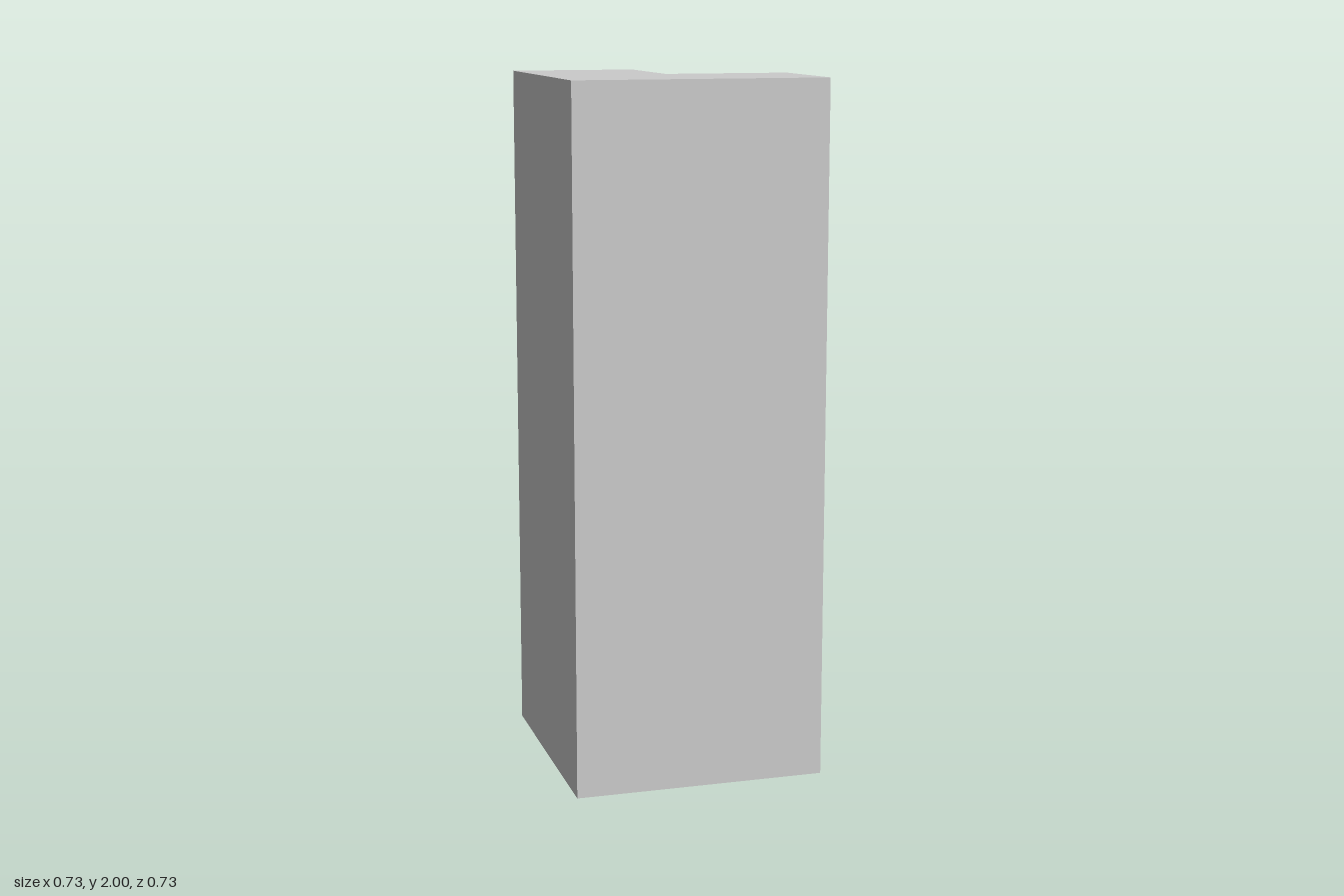
import * as THREE from 'three';

export function createModel() {
  const group = new THREE.Group();
  const h = 0.3636; // half width of the footprint
  const height = 2;

  // L-shaped footprint, drawn with shape y = -z; the notch is at the back left
  const footprint = new THREE.Shape(
    [[-h, -h], [h, -h], [h, 0], [0, 0], [0, h], [-h, h]].map(([x, y]) => new THREE.Vector2(x, y))
  );

  // Extrude upwards into a corner column
  const geometry = new THREE.ExtrudeGeometry(footprint, { depth: height, bevelEnabled: false });
  geometry.rotateX(-Math.PI / 2);

  const column = new THREE.Mesh(
    geometry,
    new THREE.MeshStandardMaterial({ color: 0xcccccc, flatShading: true })
  );
  column.name = 'cornerColumn';
  group.add(column);
  return group;
}
